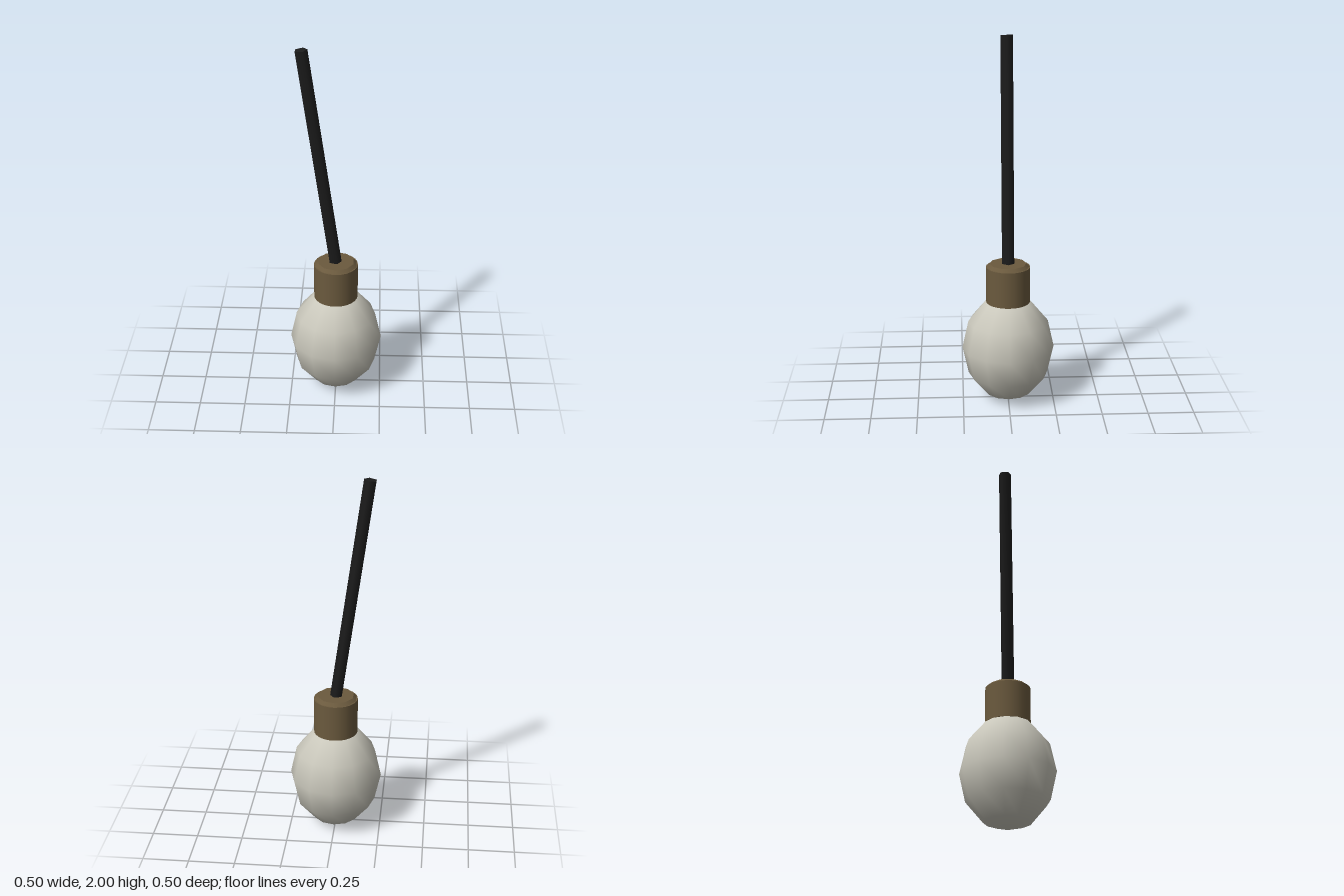
import * as THREE from 'three';

export function createModel() {
  const model = new THREE.Group();
  const glass = new THREE.MeshStandardMaterial({ name: 'frosted glass', color: 0xc9c7bb });
  const brass = new THREE.MeshStandardMaterial({ name: 'aged brass', color: 0x6b5a3e });
  const rubber = new THREE.MeshStandardMaterial({ name: 'black rubber', color: 0x1c1c1c });

  const add = (name, geometry, material) => {
    const mesh = new THREE.Mesh(geometry, material);
    mesh.name = name;
    model.add(mesh);
    return mesh;
  };

  // Egg-shaped bulb, smooth but with few sides
  const bulbHeight = 0.303;
  const bulb = add('bulb', new THREE.SphereGeometry(0.252, 12, 6), glass);
  bulb.scale.y = bulbHeight / 0.252;
  bulb.position.y = bulbHeight;

  // Socket sleeve over the neck of the bulb
  const socket = add('socket', new THREE.CylinderGeometry(0.12, 0.12, 0.2, 24), brass);
  socket.position.y = 0.668;

  // Bevelled ten-sided cap on the socket
  const cap = add('socketCap', new THREE.CylinderGeometry(0.1, 0.118, 0.018, 10), brass);
  cap.rotation.y = Math.PI;
  cap.position.y = 0.776;

  // Five-sided cable, one ridge toward +x, leaning to the right
  const start = new THREE.Vector3(0.005, 0.72, 0);
  const end = new THREE.Vector3(-0.177, 1.995, 0);
  const direction = end.clone().sub(start);
  const cableGeometry = new THREE.CylinderGeometry(0.035, 0.035, direction.length(), 5);
  cableGeometry.rotateY(Math.PI / 2);
  const cable = add('cable', cableGeometry, rubber);
  cable.position.copy(start).lerp(end, 0.5);
  cable.rotation.z = Math.atan2(-direction.x, direction.y);

  return model;
}
